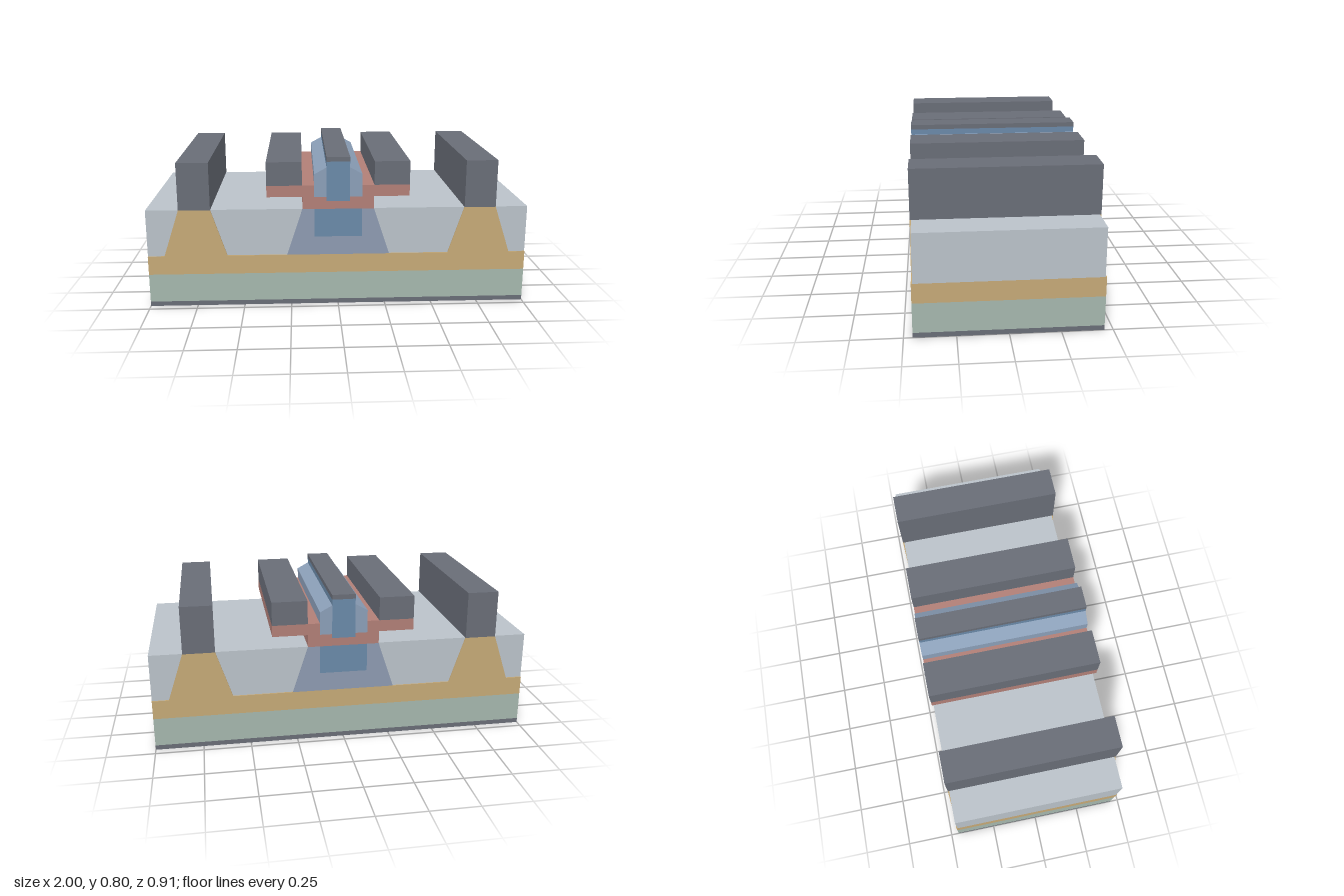
import * as THREE from 'three';

const DEPTH = 0.914;

const material = (name, color) => {
  const m = new THREE.MeshStandardMaterial({ color });
  m.name = name;
  return m;
};

export function createModel() {
  const group = new THREE.Group();
  group.name = 'layeredDevice';

  const metal = material('darkMetal', 0x696d77);
  const green = material('substrateGreen', 0xa5b7ad);
  const gold = material('buriedLayerGold', 0xc5a977);
  const oxide = material('oxideGrey', 0xbac2c9);
  const red = material('baseRed', 0xb17f77);
  const slate = material('collectorSlate', 0x8d9ab0);
  const paleBlue = material('spacerBlue', 0x8b9fb8);
  const blue = material('emitterBlue', 0x6a89a8);

  // Prism with a front-facing cross-section, centred on z = 0
  const prism = (name, points, mat, depth = DEPTH) => {
    const shape = new THREE.Shape(points.map(([x, y]) => new THREE.Vector2(x, y)));
    const geo = new THREE.ExtrudeGeometry(shape, { depth, bevelEnabled: false });
    geo.translate(0, 0, -depth / 2);
    const mesh = new THREE.Mesh(geo, mat);
    mesh.name = name;
    group.add(mesh);
  };
  const bar = (name, x0, x1, y0, y1, mat) =>
    prism(name, [[x0, y0], [x1, y0], [x1, y1], [x0, y1]], mat);
  // Same cross-section on both sides of x = 0
  const pair = (name, points, mat, depth) => {
    prism(name + 'Left', points, mat, depth);
    prism(name + 'Right', points.map(([x, y]) => [-x, y]).reverse(), mat, depth);
  };
  const pairBar = (name, x0, x1, y0, y1, mat) =>
    pair(name, [[x0, y0], [x1, y0], [x1, y1], [x0, y1]], mat);

  // Stacked base layers
  bar('bottomContact', -1, 1, 0, 0.025, metal);
  bar('substrate', -1, 1, 0.025, 0.177, green);

  // Buried layer with two tapered ridges
  prism('buriedLayer', [
    [-1, 0.177], [1, 0.177], [1, 0.277], [0.913, 0.277], [0.83, 0.526], [0.665, 0.526], [0.584, 0.277],
    [-0.584, 0.277], [-0.665, 0.526], [-0.83, 0.526], [-0.913, 0.277], [-1, 0.277],
  ], gold);

  // Oxide fill, slightly recessed at the front and back
  pair('outerOxide', [[0.913, 0.277], [1, 0.277], [1, 0.526], [0.83, 0.526]], oxide, 0.9);
  pair('innerOxide', [[0.27, 0.277], [0.584, 0.277], [0.665, 0.526], [0.187, 0.526]], oxide, 0.9);

  // Central collector around its inner pedestal
  prism('collector', [
    [-0.27, 0.277], [0.27, 0.277], [0.187, 0.526], [0.125, 0.526],
    [0.125, 0.376], [-0.125, 0.376], [-0.125, 0.526], [-0.187, 0.526],
  ], slate);
  bar('pedestal', -0.125, 0.125, 0.376, 0.526, blue);

  // T-shaped base with a stepped slot for the emitter
  prism('base', [
    [-0.187, 0.526], [0.187, 0.526], [0.187, 0.592], [0.372, 0.592], [0.372, 0.652], [0.125, 0.652],
    [0.125, 0.59], [0.061, 0.59], [0.061, 0.568], [-0.061, 0.568], [-0.061, 0.59], [-0.125, 0.59],
    [-0.125, 0.652], [-0.372, 0.652], [-0.372, 0.592], [-0.187, 0.592],
  ], red);

  // Emitter, sloped spacers and cap
  bar('emitter', -0.061, 0.061, 0.568, 0.776, blue);
  pair('spacer', [[0.061, 0.59], [0.125, 0.59], [0.125, 0.711], [0.061, 0.746]], paleBlue);
  bar('emitterContact', -0.061, 0.061, 0.776, 0.801, metal);

  // Base and collector contacts
  pairBar('baseContact', 0.188, 0.372, 0.652, 0.776, metal);
  pairBar('collectorContact', 0.665, 0.83, 0.526, 0.776, metal);

  return group;
}
